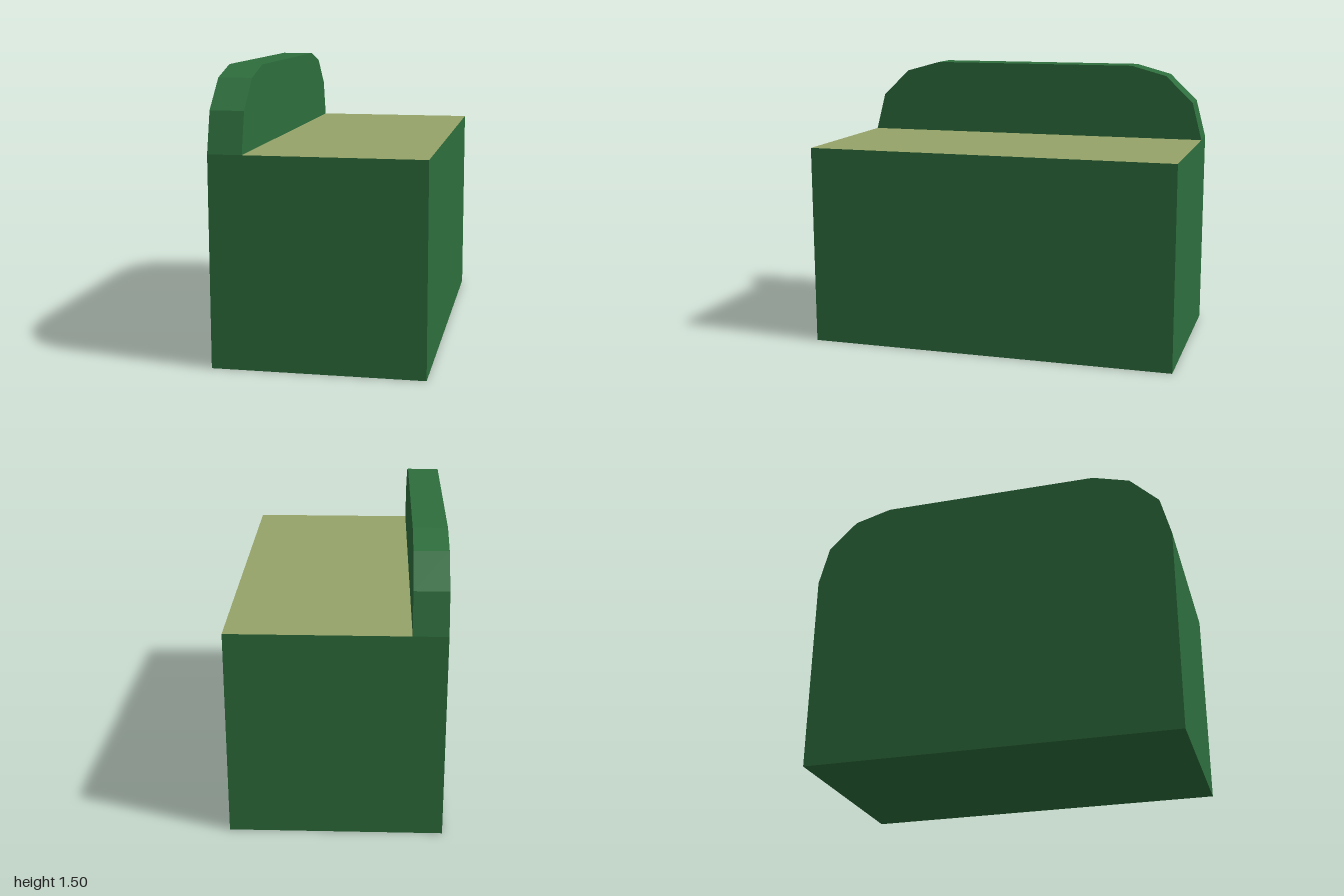
import * as THREE from 'three';

const WIDTH = 1.09, SEAT_HEIGHT = 1.09, LENGTH = 2, BACK_THICKNESS = 0.175;

export function createModel() {
  const group = new THREE.Group();
  group.name = 'bench';

  const green = new THREE.MeshStandardMaterial({ color: 0x2e6e3d, flatShading: true });
  green.name = 'green';
  const olive = new THREE.MeshStandardMaterial({ color: 0x95a368, flatShading: true });
  olive.name = 'olive';

  // Solid base, with only its top face in the seat colour
  const base = new THREE.Mesh(
    new THREE.BoxGeometry(WIDTH, SEAT_HEIGHT, LENGTH),
    [green, green, olive, green, green, green]
  );
  base.name = 'seatBase';
  base.position.y = SEAT_HEIGHT / 2;
  group.add(base);

  // Backrest: half outline mirrored, with faceted rounded corners
  const half = [[1, SEAT_HEIGHT], [0.945, 1.3], [0.79, 1.45], [0.59, 1.505]];
  const outline = [...half, ...half.map(([z, y]) => [-z, y]).reverse()];
  const shape = new THREE.Shape(outline.map(([z, y]) => new THREE.Vector2(z, y)));
  const backGeometry = new THREE.ExtrudeGeometry(shape, { depth: BACK_THICKNESS, bevelEnabled: false });
  backGeometry.rotateY(Math.PI / 2);
  const backrest = new THREE.Mesh(backGeometry, green);
  backrest.name = 'backrest';
  backrest.position.x = -WIDTH / 2;
  group.add(backrest);

  return group;
}
